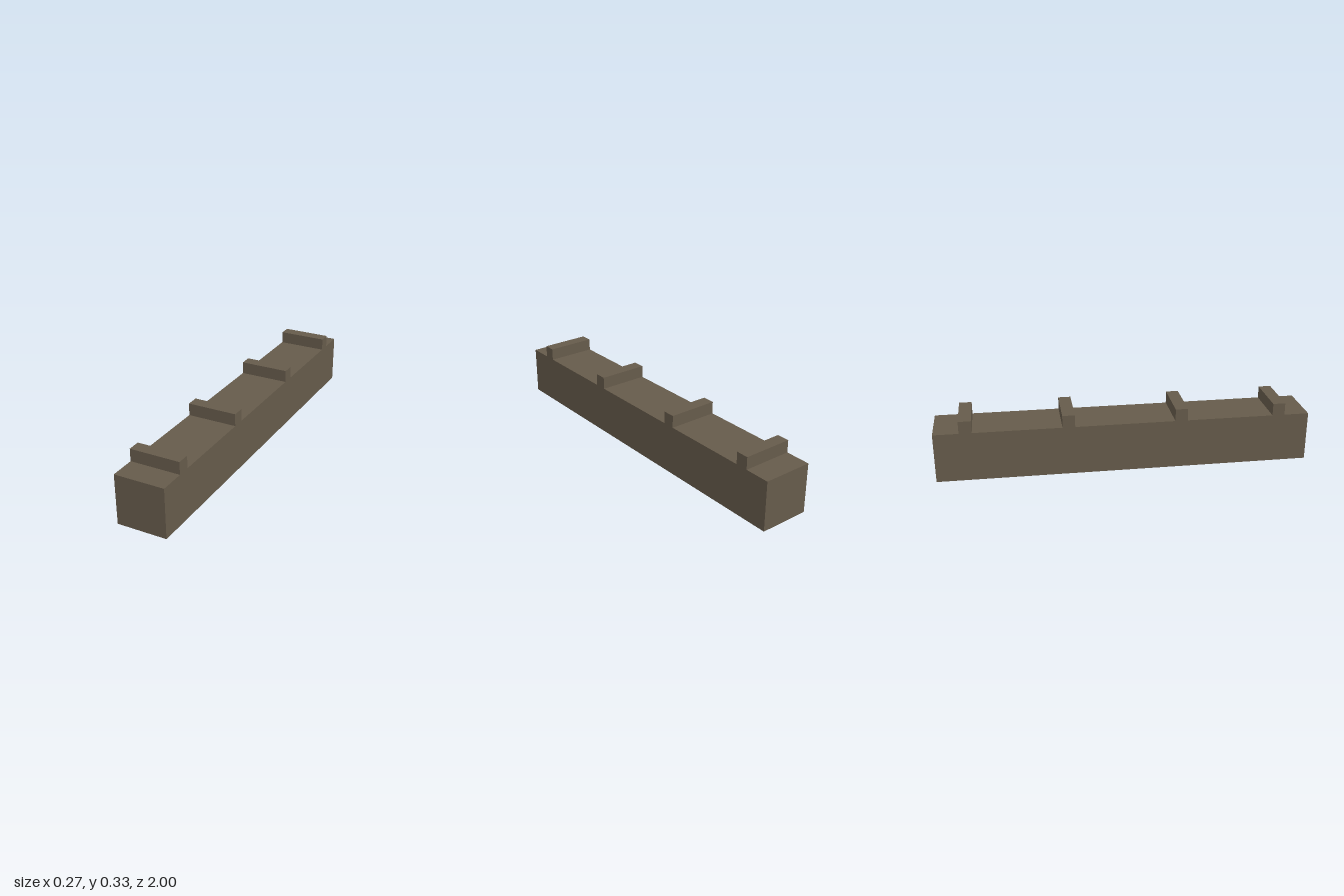
import * as THREE from 'three';

const WIDTH = 0.267, BEAM_TOP = 0.267, RIB_TOP = 0.333, RIB_HALF = 0.0333;
const RIB_CENTRES = [-0.833, -0.3, 0.3, 0.833];

export function createModel() {
  const model = new THREE.Group();
  model.name = 'ribbedBeam';
  const wood = new THREE.MeshStandardMaterial({ color: 0x665b4b });
  wood.name = 'weathered brown';

  // Side profile: a long beam with four square ribs standing on its top
  const profile = new THREE.Shape();
  profile.moveTo(1, BEAM_TOP);
  profile.lineTo(1, 0);
  profile.lineTo(-1, 0);
  profile.lineTo(-1, BEAM_TOP);
  for (const z of RIB_CENTRES) {
    profile.lineTo(z - RIB_HALF, BEAM_TOP);
    profile.lineTo(z - RIB_HALF, RIB_TOP);
    profile.lineTo(z + RIB_HALF, RIB_TOP);
    profile.lineTo(z + RIB_HALF, BEAM_TOP);
  }
  profile.closePath();

  // Extruded across the width, then turned so the length runs along z
  const geometry = new THREE.ExtrudeGeometry(profile, { depth: WIDTH, bevelEnabled: false });
  geometry.translate(0, 0, -WIDTH / 2);
  geometry.rotateY(-Math.PI / 2);

  const beam = new THREE.Mesh(geometry, wood);
  beam.name = 'beamWithRibs';
  model.add(beam);
  return model;
}
